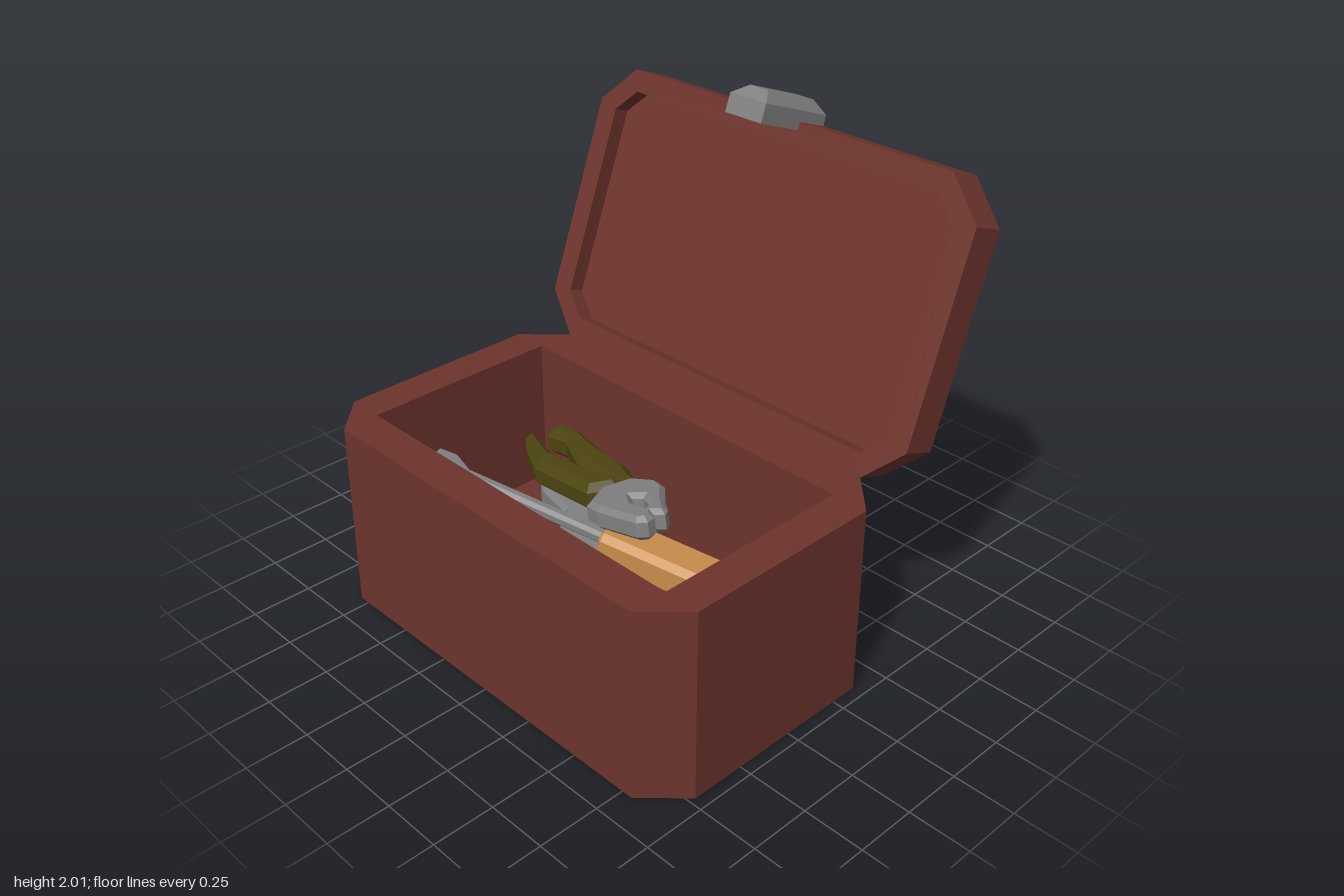
import * as THREE from 'three';

const mat = (color) => new THREE.MeshStandardMaterial({ color, flatShading: true });
const wood = mat(0x6e342d), steel = mat(0x808080), black = mat(0x2e2e2e);
const olive = mat(0x4d4510), orange = mat(0xc88c4c);

const toShape = (pts) => new THREE.Shape(pts.map(([x, z]) => new THREE.Vector2(x, -z)));

// Flat slab from an [x, z] outline, lying between y0 and y1, with optional bevel and hole
function slab(name, pts, y0, y1, material, bevel = 0, hole = null) {
  const shape = toShape(pts);
  if (hole) shape.holes.push(toShape(hole));
  const geo = new THREE.ExtrudeGeometry(shape, {
    depth: y1 - y0 - 2 * bevel, bevelEnabled: bevel > 0, bevelThickness: bevel,
    bevelSize: bevel, bevelOffset: -bevel, bevelSegments: 1,
  });
  geo.translate(0, 0, y0 + bevel);
  geo.rotateX(-Math.PI / 2);
  const mesh = new THREE.Mesh(geo, material);
  mesh.name = name;
  return mesh;
}

// Rectangle with cut corners
const octagon = (x0, x1, z, c) => [
  [x0 + c, z], [x1 - c, z], [x1, z - c], [x1, c - z],
  [x1 - c, -z], [x0 + c, -z], [x0, c - z], [x0, z - c],
];

function makeBox() {
  const g = new THREE.Group();
  g.name = 'box';
  const outline = octagon(-0.88, 0.27, 0.95, 0.155);
  const cavity = [[-0.725, 0.8], [0.115, 0.8], [0.115, -0.8], [-0.725, -0.8]];
  g.add(slab('boxFloor', outline, 0, 0.16, wood));
  g.add(slab('boxWalls', outline, 0.16, 0.79, wood, 0, cavity));
  return g;
}

// Lid is built closed, hinge at its origin, then swung open
function makeLid() {
  const g = new THREE.Group();
  g.name = 'lid';
  const outline = octagon(0, 1.147, 0.95, 0.155);
  g.add(slab('lidPlate', outline, -0.154, -0.07, wood));
  g.add(slab('lidRim', outline, -0.07, 0, wood, 0, octagon(0.085, 1.062, 0.857, 0.095)));

  // Clasp: block with a tapered top
  const geo = new THREE.BoxGeometry(0.367, 0.12, 0.18, 1, 2, 1);
  const p = geo.attributes.position;
  for (let i = 0; i < p.count; i++) {
    if (p.getY(i) > 0.05) p.setXYZ(i, p.getX(i) * 0.75, p.getY(i), p.getZ(i) * 0.5);
    else if (p.getY(i) > -0.05) p.setY(i, 0.015);
  }
  geo.rotateZ(-Math.PI / 2);
  const clasp = new THREE.Mesh(geo, steel);
  clasp.name = 'clasp';
  clasp.position.set(1.175, 0.037, 0);
  g.add(clasp);

  // Carrying handle on the outside
  const half = [[0.434, 0.09], [0.45, 0.12], [0.45, 0.21], [0.47, 0.23], [0.68, 0.23],
    [0.71, 0.2], [0.71, 0.115], [0.67, 0.115]];
  const mirrored = half.map(([x, z]) => [x, -z]).reverse();
  g.add(slab('carryHandle', [...half, ...mirrored], -0.377, -0.14, black, 0.015));

  g.position.set(0.27, 0.79, 0);
  g.rotation.z = THREE.MathUtils.degToRad(69.6);
  return g;
}

function makeWrench() {
  return slab('wrench', [
    [-0.59, 0.67], [-0.57, 0.74], [-0.42, 0.765], [-0.385, 0.68], [-0.29, 0.18], [-0.27, 0],
    [-0.1, -0.1], [-0.03, -0.25], [0.02, -0.5], [0, -0.63], [-0.05, -0.64], [-0.09, -0.58],
    [-0.13, -0.4], [-0.2, -0.33], [-0.3, -0.32], [-0.4, -0.38], [-0.42, -0.46], [-0.37, -0.64],
    [-0.38, -0.71], [-0.45, -0.72], [-0.48, -0.66], [-0.54, -0.45], [-0.585, -0.35],
    [-0.54, -0.2], [-0.44, -0.09],
  ], 0.16, 0.28, steel, 0.02);
}

// Screwdriver along +z, aimed from the butt of its handle to its tip
function makeScrewdriver() {
  const g = new THREE.Group();
  g.name = 'screwdriver';
  const handle = slab('screwdriverHandle', octagon(-0.088, 0.088, 0.07, 0.025), 0, 0.72, orange, 0.012);
  handle.rotation.x = Math.PI / 2;
  const shaft = slab('screwdriverShaft', octagon(-0.026, 0.026, 0.026, 0.014), 0.7, 1.4, steel);
  shaft.rotation.x = Math.PI / 2;
  const tip = slab('screwdriverTip',
    [[-0.026, 1.34], [-0.075, 1.42], [-0.07, 1.5], [0.07, 1.5], [0.075, 1.42], [0.026, 1.34]],
    -0.025, 0.025, steel, 0.008);
  g.add(handle, shaft, tip);
  g.position.set(-0.05, 0.3, 0.71);
  g.lookAt(-0.59, 0.59, -0.66);
  return g;
}

// Pliers resting on the other tools, jaws raised
function makePliers() {
  const g = new THREE.Group();
  g.name = 'pliers';
  g.add(slab('pliersHead', [
    [-0.22, -0.08], [-0.34, -0.02], [-0.35, 0.05], [-0.33, 0.24], [-0.3, 0.275], [-0.26, 0.27],
    [-0.245, 0.25], [-0.22, 0.285], [-0.19, 0.27], [-0.14, 0.2], [-0.06, 0.12], [-0.045, 0.06],
    [-0.09, -0.04],
  ], -0.1, 0, steel, 0.02, [[-0.235, 0.19], [-0.235, 0.13], [-0.2, 0.08], [-0.175, 0.12], [-0.2, 0.18]]));
  g.add(slab('leftGrip', [
    [-0.17, -0.03], [-0.27, -0.1], [-0.26, -0.2], [-0.235, -0.46], [-0.13, -0.64], [-0.06, -0.73],
    [-0.02, -0.72], [-0.04, -0.66], [-0.115, -0.48], [-0.13, -0.2], [-0.1, -0.06],
  ], -0.11, 0.01, olive, 0.03));
  g.add(slab('rightGrip', [
    [-0.17, -0.04], [-0.08, -0.03], [-0.02, -0.14], [0.02, -0.32], [0.1, -0.56], [0.095, -0.67],
    [0.05, -0.695], [0.005, -0.66], [0, -0.54], [-0.1, -0.36], [-0.14, -0.22],
  ], -0.11, 0.01, olive, 0.03));
  g.position.y = 0.585;
  g.rotation.x = -0.16;
  return g;
}

export function createModel() {
  const model = new THREE.Group();
  model.name = 'toolbox';
  model.add(makeBox(), makeLid(), makeWrench(), makeScrewdriver(), makePliers());
  return model;
}
